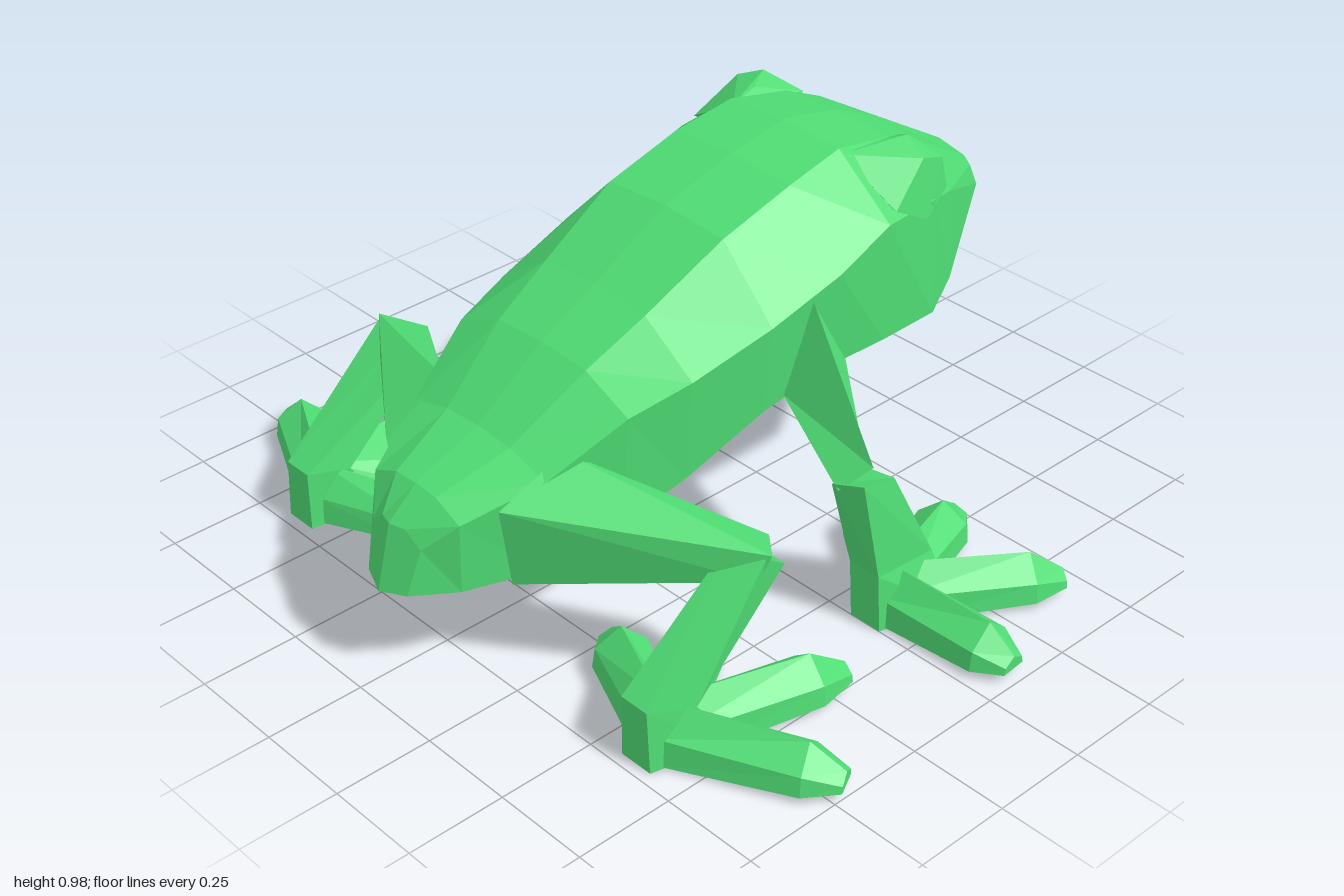
import * as THREE from 'three';
import { ConvexGeometry } from 'three/addons/geometries/ConvexGeometry.js';

const green = new THREE.MeshStandardMaterial({ color: 0x4fdc74, flatShading: true });
const grey = new THREE.MeshStandardMaterial({ color: 0xcccccc, flatShading: true });

function triangleMesh(name, tris, material) {
  const geo = new THREE.BufferGeometry();
  geo.setAttribute('position', new THREE.Float32BufferAttribute(tris.flat(2), 3));
  geo.computeVertexNormals();
  const mesh = new THREE.Mesh(geo, material);
  mesh.name = name;
  return mesh;
}

// Closed skin over rings of points. The strips in greySides (from ring greyFrom on)
// and, with greyEnd, the last cap become the grey underside.
function loft(name, rings, { greySides = [], greyFrom = 0, greyEnd = false } = {}) {
  const n = rings[0].length;
  const skin = [], under = [];
  for (let i = 0; i < rings.length - 1; i++) {
    for (let k = 0; k < n; k++) {
      const a = rings[i][k], b = rings[i][(k + 1) % n];
      const c = rings[i + 1][(k + 1) % n], d = rings[i + 1][k];
      (i >= greyFrom && greySides.includes(k) ? under : skin).push([a, b, c], [a, c, d]);
    }
  }
  const first = rings[0], last = rings[rings.length - 1];
  for (let k = 1; k < n - 1; k++) {
    skin.push([first[0], first[k + 1], first[k]]);
    (greyEnd ? under : skin).push([last[0], last[k], last[k + 1]]);
  }
  // Turn all faces outward
  const v = (p) => new THREE.Vector3(...p);
  const all = [...skin, ...under];
  const volume = all.reduce((s, [a, b, c]) => s + v(a).dot(v(b).cross(v(c))), 0);
  if (volume < 0) all.forEach((t) => t.reverse());

  const group = new THREE.Group();
  group.name = name;
  group.add(triangleMesh(name + 'Skin', skin, green));
  if (under.length) group.add(triangleMesh(name + 'Underside', under, grey));
  return group;
}

// Body sections from tail to snout:
// x, top y, shoulder z, flank y z, lip y z, belly y z, keel y
const BODY = [
  [-0.89, 0.40, 0.04, 0.36, 0.085, 0.245, 0.07, 0.24, 0.03, 0.235],
  [-0.81, 0.47, 0.07, 0.43, 0.15, 0.25, 0.145, 0.24, 0.07, 0.235],
  [-0.63, 0.54, 0.11, 0.50, 0.23, 0.26, 0.22, 0.245, 0.12, 0.235],
  [-0.44, 0.68, 0.15, 0.61, 0.29, 0.32, 0.27, 0.275, 0.13, 0.26],
  [-0.28, 0.765, 0.17, 0.65, 0.325, 0.38, 0.30, 0.32, 0.17, 0.29],
  [-0.06, 0.885, 0.19, 0.71, 0.352, 0.48, 0.33, 0.40, 0.21, 0.38],
  [0.15, 0.945, 0.19, 0.77, 0.36, 0.52, 0.34, 0.44, 0.24, 0.42],
  [0.32, 0.975, 0.18, 0.83, 0.35, 0.52, 0.345, 0.47, 0.25, 0.455],
  [0.50, 0.94, 0.17, 0.82, 0.325, 0.52, 0.34, 0.485, 0.25, 0.475],
  [0.62, 0.885, 0.17, 0.78, 0.27, 0.545, 0.285, 0.50, 0.20, 0.49],
  [0.885, 0.73, 0.10, 0.70, 0.115, 0.64, 0.12, 0.637, 0.06, 0.635],
];

function bodyRing([x, top, sz, fy, fz, ly, lz, by, bz, keel], i) {
  // The tail and snout sections lean outward below and bow back at the sides
  const [lean, bow] = { 0: [-0.25, 0.35], [BODY.length - 1]: [0.42, -0.2] }[i] ?? [0, 0];
  const half = [[top - 0.06 * sz, sz], [fy, fz], [ly, lz], [by, bz]];
  const mirrored = half.map(([y, z]) => [y, -z]).reverse();
  return [[top, 0], ...half, [keel, 0], ...mirrored]
    .map(([y, z]) => [x + lean * (top - y) + bow * Math.abs(z), y, z]);
}

// One ridged toe running from the foot's root to its tip
function toe(name, [x0, z0], [x1, z1], side) {
  const length = Math.hypot(x1 - x0, z1 - z0);
  const dx = (x1 - x0) / length, dz = (z1 - z0) / length;
  const ring = ([t, w, h, floor]) => [
    [w, floor], [w * 0.9, floor + h * 0.5], [0, floor + h], [-w * 0.9, floor + h * 0.5], [-w, floor],
  ].map(([s, y]) => [x0 + dx * length * t - dz * s, y, side * (z0 + dz * length * t + dx * s)]);
  const rings = [[0, 0.055, 0.14, 0.002], [0.8, 0.07, 0.1, 0.018], [1, 0.035, 0.035, 0.024]].map(ring);
  return loft(name, rings, { greySides: [4] });
}

const HIND = {
  upper: [
    [[-0.56, 0.54, 0.21], [-0.74, 0.46, 0.20], [-0.71, 0.25, 0.20], [-0.54, 0.28, 0.21]],
    [[-0.31, 0.40, 0.60], [-0.39, 0.43, 0.69], [-0.41, 0.36, 0.67], [-0.33, 0.36, 0.58]],
  ],
  lower: [
    [[-0.41, 0.42, 0.58], [-0.40, 0.42, 0.68], [-0.32, 0.36, 0.66], [-0.32, 0.36, 0.58]],
    [[-0.72, 0.16, 0.57], [-0.72, 0.16, 0.65], [-0.60, 0.13, 0.68], [-0.60, 0.13, 0.56]],
    [[-0.72, 0, 0.57], [-0.72, 0, 0.66], [-0.52, 0.003, 0.71], [-0.52, 0.003, 0.54]],
  ],
  root: [-0.65, 0.62],
  tips: [[-0.455, 0.99], [-0.19, 0.73], [-0.33, 0.41], [-0.49, 0.28]],
};

const FRONT = {
  upper: [
    [[0.07, 0.75, 0.34], [0.20, 0.52, 0.335], [0.0, 0.50, 0.33]],
    [[0.01, 0.43, 0.61], [0.065, 0.37, 0.54], [-0.05, 0.37, 0.56]],
  ],
  lower: [
    [[-0.05, 0.38, 0.54], [-0.04, 0.41, 0.63], [0.06, 0.39, 0.63], [0.065, 0.37, 0.53]],
    [[0.0, 0.15, 0.56], [0.0, 0.15, 0.65], [0.17, 0.15, 0.66], [0.17, 0.15, 0.55]],
    [[0.0, 0, 0.57], [0.0, 0, 0.66], [0.20, 0.003, 0.71], [0.20, 0.003, 0.54]],
  ],
  root: [0.07, 0.62],
  tips: [[0.10, 0.98], [0.44, 0.84], [0.45, 0.49], [0.30, 0.34]],
};

function leg(name, spec, side) {
  const group = new THREE.Group();
  group.name = name;
  const flip = (rings) => rings.map((r) => r.map(([x, y, z]) => [x, y, z * side]));
  group.add(loft(name + 'Upper', flip(spec.upper)));
  group.add(loft(name + 'Lower', flip(spec.lower), { greyEnd: true }));
  spec.tips.forEach((tip, i) => group.add(toe(`${name}Toe${i + 1}`, spec.root, tip, side)));
  return group;
}

// Faceted brow bump over each eye
function eye(name, side) {
  const points = [
    [0.33, 0.945, 0.18], [0.42, 0.955, 0.20], [0.49, 0.965, 0.24], [0.47, 0.935, 0.31], [0.56, 0.90, 0.29],
    [0.55, 0.915, 0.16], [0.57, 0.82, 0.30], [0.46, 0.79, 0.34], [0.35, 0.85, 0.34], [0.42, 0.85, 0.15],
  ].map(([x, y, z]) => new THREE.Vector3(x, y, z * side));
  const mesh = new THREE.Mesh(new ConvexGeometry(points), green);
  mesh.name = name;
  return mesh;
}

export function createModel() {
  const frog = new THREE.Group();
  frog.name = 'frog';
  frog.add(loft('body', BODY.map(bodyRing), { greySides: [3, 4, 5, 6], greyFrom: 2 }));
  for (const [label, side] of [['left', -1], ['right', 1]]) {
    frog.add(eye(label + 'Eye', side));
    frog.add(leg(label + 'FrontLeg', FRONT, side));
    frog.add(leg(label + 'HindLeg', HIND, side));
  }
  return frog;
}
